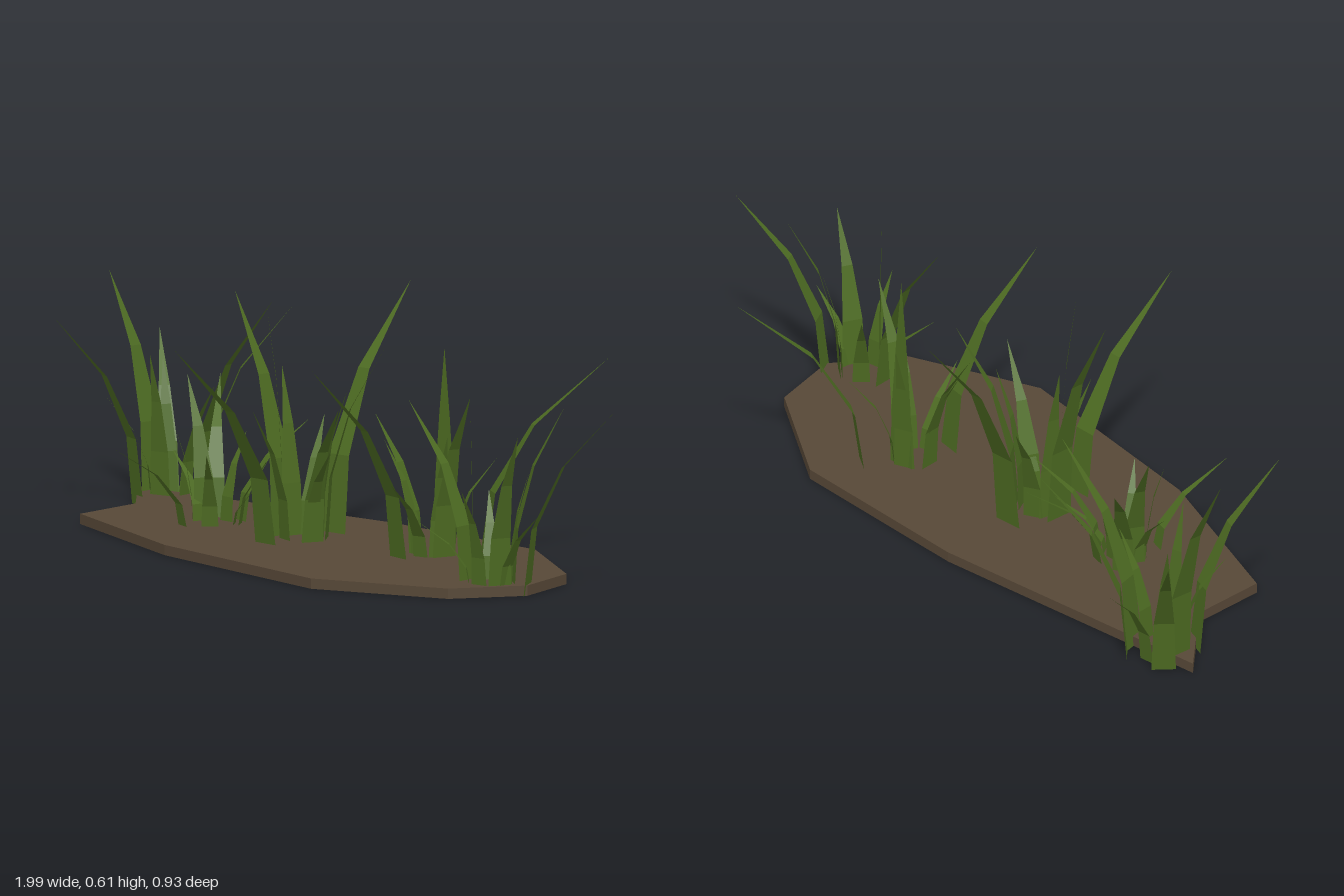
import * as THREE from 'three';

// Clumps: centre [x, z], typical inner blade height, and the tips of the long blades [x, y, z]
const CLUMPS = [
  { at: [-0.76, -0.08], inner: 0.31, tips: [
    [-0.97, 0.54, -0.05], [-1, 0.38, -0.22], [-0.82, 0.47, 0.22],
    [-0.59, 0.48, -0.32], [-0.51, 0.51, -0.2]] },
  { at: [-0.34, 0.1], inner: 0.22, tips: [
    [-0.57, 0.34, -0.09], [-0.51, 0.36, 0.05], [-0.38, 0.225, 0.36],
    [-0.31, 0.26, -0.17], [-0.17, 0.26, -0.06]] },
  { at: [-0.04, 0.05], inner: 0.36, tips: [
    [0.01, 0.525, 0.46], [-0.11, 0.605, -0.32], [-0.26, 0.6, 0.09],
    [-0.09, 0.6, 0.12], [0.1, 0.5, -0.1], [0.18, 0.37, 0.1]] },
  { at: [0.33, -0.07], inner: 0.3, tips: [
    [0.5, 0.485, -0.465], [0.32, 0.5, 0.28], [0.32, 0.52, -0.11],
    [0.16, 0.35, -0.02], [0.51, 0.43, -0.05]] },
  { at: [0.75, 0.06], inner: 0.24, tips: [
    [0.99, 0.46, -0.14], [0.9, 0.4, 0.09], [0.83, 0.45, -0.1],
    [0.72, 0.43, 0.1], [0.51, 0.44, 0.13]] },
];
const INNER_COUNT = 5;

// Blade profile: [outward bend, height, width], all as fractions
const PROFILE = [[0, 0, 1], [0.08, 0.35, 0.84], [0.4, 0.68, 0.46], [1, 1, 0]];

// A flat tapering strip, leaning from the clump centre out to its tip
function bladeGeometry([cx, cz], [tx, ty, tz]) {
  const dx = tx - cx, dz = tz - cz, reach = Math.hypot(dx, dz);
  const start = Math.max(0.28, Math.min(1, 0.045 / reach));
  const half = 0.012 + 0.046 * ty;
  const points = [], index = [];
  PROFILE.forEach(([bend, height, width], i) => {
    const u = start + (1 - start) * bend, w = half * width;
    for (const s of [-1, 1]) {
      points.push(cx + dx * u + s * w * dz / reach, ty * height, cz + dz * u - s * w * dx / reach);
    }
    const a = i * 2;
    if (i < PROFILE.length - 1) index.push(a, a + 1, a + 3);
    if (i < PROFILE.length - 2) index.push(a, a + 3, a + 2);
  });
  const indexed = new THREE.BufferGeometry();
  indexed.setAttribute('position', new THREE.Float32BufferAttribute(points, 3));
  indexed.setIndex(index);
  const flat = indexed.toNonIndexed();
  flat.computeVertexNormals();
  return flat;
}

// Shorter blades spread around the clump centre by the golden angle
function innerTips([cx, cz], height, turn) {
  return Array.from({ length: INNER_COUNT }, (_, i) => {
    const angle = turn + i * 2.4, reach = 0.09 + 0.022 * i;
    return [cx + reach * Math.cos(angle), height * (1.2 - 0.12 * i), cz + reach * Math.sin(angle)];
  });
}

export function createModel() {
  const model = new THREE.Group();
  model.name = 'grassPatch';
  const soil = new THREE.MeshStandardMaterial({ name: 'soil brown', color: 0x574837 });
  const green = new THREE.MeshStandardMaterial({
    name: 'grass green', color: 0x4d6b22, side: THREE.DoubleSide, flatShading: true });

  // Thin irregular slab of earth, outlined as [x, z]
  const outline = [[-0.88, -0.07], [-0.68, 0.08], [-0.635, 0.275], [-0.15, 0.375], [0.45, 0.375],
    [0.76, 0.195], [0.834, 0.015], [0.75, -0.16], [0.42, -0.305], [-0.1, -0.255]];
  const shape = new THREE.Shape(outline.map(([x, z]) => new THREE.Vector2(x, -z)));
  const slabGeometry = new THREE.ExtrudeGeometry(shape, { depth: 0.025, bevelEnabled: false });
  slabGeometry.rotateX(-Math.PI / 2);
  const slab = new THREE.Mesh(slabGeometry, soil);
  slab.name = 'soilSlab';
  model.add(slab);

  // Grass clumps along the slab
  CLUMPS.forEach(({ at, inner, tips }, i) => {
    const clump = new THREE.Group();
    clump.name = `grassClump${i + 1}`;
    for (const tip of [...tips, ...innerTips(at, inner, 1.2 + i)]) {
      const blade = new THREE.Mesh(bladeGeometry(at, tip), green);
      blade.name = 'grassBlade';
      clump.add(blade);
    }
    model.add(clump);
  });
  return model;
}
